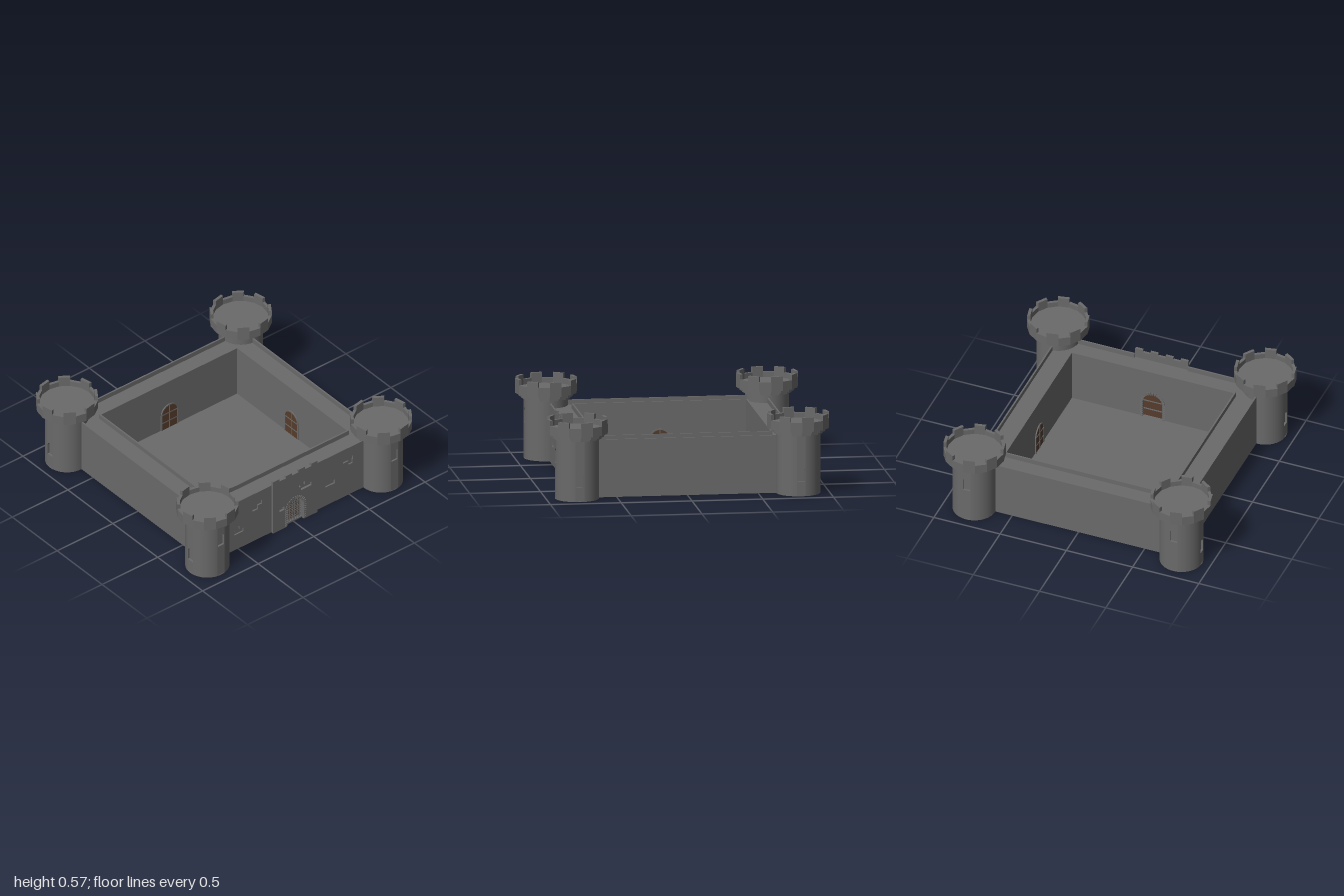
import * as THREE from 'three';

const stone = new THREE.MeshStandardMaterial({ color: 0x6a6a6a, flatShading: true });
const smoothStone = new THREE.MeshStandardMaterial({ color: 0x6a6a6a });
const wood = new THREE.MeshStandardMaterial({ color: 0x563c2c, flatShading: true });

const TOWER = 0.781, OUT = 0.775, IN = 0.61, LIP = 0.012, WALL_H = 0.41, WALK_H = 0.375;
const GATE_W = 0.2, GATE_FRONT = 0.795, PLATE = 0.018;

function add(parent, name, geometry, material = stone) {
  const mesh = new THREE.Mesh(geometry, material);
  mesh.name = name;
  parent.add(mesh);
  return mesh;
}

// Box given by its limits on each axis
function block(parent, name, x0, x1, y0, y1, z0, z1, material = stone) {
  const m = add(parent, name, new THREE.BoxGeometry(x1 - x0, y1 - y0, z1 - z0), material);
  m.position.set((x0 + x1) / 2, (y0 + y1) / 2, (z0 + z1) / 2);
}

// Round-headed outline standing on y0
function arch(Type, halfWidth, y0, springY) {
  const s = new Type();
  s.moveTo(-halfWidth, y0);
  s.lineTo(halfWidth, y0);
  s.lineTo(halfWidth, springY);
  s.absarc(0, springY, halfWidth, 0, Math.PI, false);
  return s;
}

function polygon(Type, points) {
  return new Type(points.map(([x, y]) => new THREE.Vector2(x, y)));
}

function rectangle(Type, x0, x1, y0, y1) {
  return polygon(Type, [[x0, y0], [x1, y0], [x1, y1], [x0, y1]]);
}

// Outline of two overlapping bricks, one course above the other
function brickPair([ux0, ux1], [lx0, lx1], y) {
  const m = y + 0.032, t = y + 0.064;
  return polygon(THREE.Path, [[lx0, y], [lx1, y], [lx1, m], [ux1, m], [ux1, t], [ux0, t], [ux0, m], [lx0, m]]);
}

function extrude(shape, depth) {
  return new THREE.ExtrudeGeometry(shape, { depth, bevelEnabled: false, curveSegments: 10 });
}

function group(parent, name) {
  const g = new THREE.Group();
  g.name = name;
  parent.add(g);
  return g;
}

// Wall facing +z: core with walkway, inner lip, and an outer skin rising as the outer lip
function wall(parent, x0, x1, recesses = []) {
  const corner = IN + LIP;
  block(parent, 'wallCore', x0, x1, 0, WALK_H, IN, OUT - LIP);
  block(parent, 'innerLip', Math.max(x0, -corner), Math.min(x1, corner), WALK_H, WALL_H, IN, corner);
  const skin = rectangle(THREE.Shape, x0, x1, 0, WALL_H);
  skin.holes.push(...recesses);
  add(parent, 'wallSkin', extrude(skin, LIP)).position.z = OUT - LIP;
}

// Planked arched door on the courtyard side of a wall
function courtyardDoor(parent) {
  const door = group(parent, 'courtyardDoor');
  add(door, 'doorPanel', extrude(arch(THREE.Shape, 0.07, 0.01, 0.14), 0.008), wood).position.z = IN - 0.004;
  const frame = arch(THREE.Shape, 0.076, 0.01, 0.14);
  frame.holes.push(arch(THREE.Path, 0.068, 0.012, 0.14));
  add(door, 'doorFrame', extrude(frame, 0.012)).position.z = IN - 0.008;
  block(door, 'doorSplit', -0.003, 0.003, 0.012, 0.207, IN - 0.007, IN);
  for (const y of [0.07, 0.14]) block(door, 'doorStrap', -0.068, 0.068, y, y + 0.006, IN - 0.007, IN);
}

// Small stones around the gate arch
function archStones(parent, z0, z1) {
  const stoneAt = (x, y, angle) => {
    const m = add(parent, 'archStone', new THREE.BoxGeometry(0.02, 0.012, z1 - z0));
    m.position.set(x, y, (z0 + z1) / 2);
    m.rotation.z = angle;
  };
  for (let i = 0; i <= 14; i++) {
    const a = (i / 14) * Math.PI;
    stoneAt(Math.cos(a) * 0.084, 0.14 + Math.sin(a) * 0.084, a);
  }
  for (let i = 0; i < 7; i++) for (const s of [-1, 1]) stoneAt(s * 0.084, 0.016 + i * 0.018, 0);
}

// Gatehouse outline with the arched passage cut from below
function gateOutline(top) {
  const s = new THREE.Shape();
  s.moveTo(-GATE_W, 0);
  s.lineTo(-0.075, 0);
  s.lineTo(-0.075, 0.14);
  s.absarc(0, 0.14, 0.075, Math.PI, 0, true);
  s.lineTo(0.075, 0);
  s.lineTo(GATE_W, 0);
  s.lineTo(GATE_W, top);
  s.lineTo(-GATE_W, top);
  return s;
}

function gatehouse(parent) {
  const gate = group(parent, 'gatehouse');
  const plateBack = GATE_FRONT - PLATE;
  add(gate, 'gateBody', extrude(gateOutline(WALK_H), plateBack - IN)).position.z = IN;
  block(gate, 'innerLip', -GATE_W, GATE_W, WALK_H, WALL_H, IN, IN + LIP);
  // Front plate with sunken bricks, carrying four merlons
  const plate = gateOutline(0.43);
  plate.holes.push(brickPair([0.03, 0.085], [0.05, 0.145], 0.262),
    rectangle(THREE.Path, -0.145, -0.1, 0.16, 0.192));
  add(gate, 'gatePlate', extrude(plate, PLATE)).position.z = plateBack;
  const step = (2 * GATE_W) / 7;
  for (let i = 0; i < 7; i += 2) {
    block(gate, 'merlon', -GATE_W + i * step, -GATE_W + (i + 1) * step, 0.43, 0.45, plateBack, GATE_FRONT);
  }
  archStones(gate, GATE_FRONT - 0.01, GATE_FRONT + 0.006);
  archStones(gate, IN - 0.006, IN + 0.01);
  // Wooden gate behind a lattice
  add(gate, 'gatePanel', extrude(arch(THREE.Shape, 0.075, 0.005, 0.14), 0.12), wood).position.z = 0.625;
  for (let i = -4; i <= 4; i++) {
    const x = i * 0.015, top = 0.14 + Math.sqrt(0.075 ** 2 - x * x);
    block(gate, 'latticeUpright', x - 0.002, x + 0.002, 0.01, top, 0.765, 0.769);
  }
  for (let y = 0.025; y < 0.21; y += 0.015) {
    const w = y < 0.14 ? 0.075 : Math.sqrt(0.075 ** 2 - (y - 0.14) ** 2);
    block(gate, 'latticeBar', -w, w, y - 0.002, y + 0.002, 0.761, 0.765);
  }
  for (const y of [0.07, 0.14]) block(gate, 'gateStrap', -0.074, 0.074, y, y + 0.006, 0.62, 0.63);
}

// Corner tower; quadrant q counts quarter turns from +z towards +x
function tower(parent, q) {
  const t = group(parent, 'cornerTower');
  const quarter = Math.PI / 2, middle = (q + 0.5) * quarter;
  t.position.set(Math.sign(Math.sin(middle)) * TOWER, 0, Math.sign(Math.cos(middle)) * TOWER);
  const drum = (name, r, y0, y1, sides, material, start = 0, sweep = Math.PI * 2) => {
    const g = new THREE.CylinderGeometry(r, r, y1 - y0, sides, 1, false, start, sweep);
    add(t, name, g, material).position.y = (y0 + y1) / 2;
  };
  // Shaft in two arcs, leaving a narrow strip for each window
  const SHAFT = 0.155, gap = 0.2;
  drum('towerFoot', SHAFT, 0, 0.006, 40, smoothStone);
  drum('towerShaft', SHAFT, 0.004, 0.44, 8, smoothStone, q * quarter + gap, quarter - 2 * gap);
  drum('towerShaft', SHAFT, 0.004, 0.44, 30, smoothStone, (q + 1) * quarter + gap, 3 * quarter - 2 * gap);
  for (const k of [q, q + 1]) {
    const strip = group(t, 'windowStrip');
    strip.rotation.y = k * quarter;
    const w = SHAFT * Math.sin(gap), z = SHAFT * Math.cos(gap);
    const y = k % 2 ? 0.105 : 0.255;
    const face = rectangle(THREE.Shape, -w, w, 0.004, 0.44);
    face.holes.push(arch(THREE.Path, 0.027, y, y + 0.077));
    add(strip, 'windowSurround', extrude(face, 0.015)).position.z = z - 0.015;
    block(strip, 'windowBack', -w, w, 0.004, 0.44, z - 0.03, z - 0.015);
  }
  const SIDES = 16;
  drum('lowerCorbel', 0.175, 0.43, 0.447, SIDES);
  drum('upperCorbel', 0.193, 0.445, 0.47, SIDES);
  drum('towerDeck', 0.2, 0.466, 0.495, SIDES);
  // Crown of sectors, every second one raised as a merlon
  const R = 0.219, r = 0.197;
  for (let i = 0; i < SIDES; i++) {
    const a = (i * 2 * Math.PI) / SIDES, b = a + (2 * Math.PI) / SIDES;
    const sector = polygon(THREE.Shape, [[R, a], [R, b], [r, b], [r, a]]
      .map(([d, angle]) => [d * Math.sin(angle), d * Math.cos(angle)]));
    const raised = i % 2 === 1;
    const g = extrude(sector, raised ? 0.103 : 0.066);
    g.rotateX(-Math.PI / 2);
    add(t, raised ? 'crownMerlon' : 'crownGap', g).position.y = 0.467;
  }
}

export function createModel() {
  const castle = new THREE.Group();
  castle.name = 'castle';
  block(castle, 'courtyardFloor', -OUT + 0.002, OUT - 0.002, 0, 0.012, -OUT + 0.002, OUT - 0.002);

  // Back and side walls, each with a courtyard door
  ['leftWall', 'backWall', 'rightWall'].forEach((name, i) => {
    const side = group(castle, name);
    wall(side, -0.7, 0.7);
    courtyardDoor(side);
    side.rotation.y = ((i + 1) * Math.PI) / 2;
  });

  // Front wall with sunken bricks on both sides of the gatehouse
  const front = group(castle, 'frontWall');
  wall(front, -0.7, -GATE_W, [
    brickPair([-0.535, -0.485], [-0.53, -0.45], 0.13),
    brickPair([-0.33, -0.285], [-0.37, -0.32], 0.262),
  ]);
  wall(front, GATE_W, 0.7, [
    brickPair([0.445, 0.535], [0.495, 0.53], 0.262),
    rectangle(THREE.Path, 0.285, 0.37, 0.16, 0.192),
  ]);
  gatehouse(front);

  for (let q = 0; q < 4; q++) tower(castle, q);
  return castle;
}
